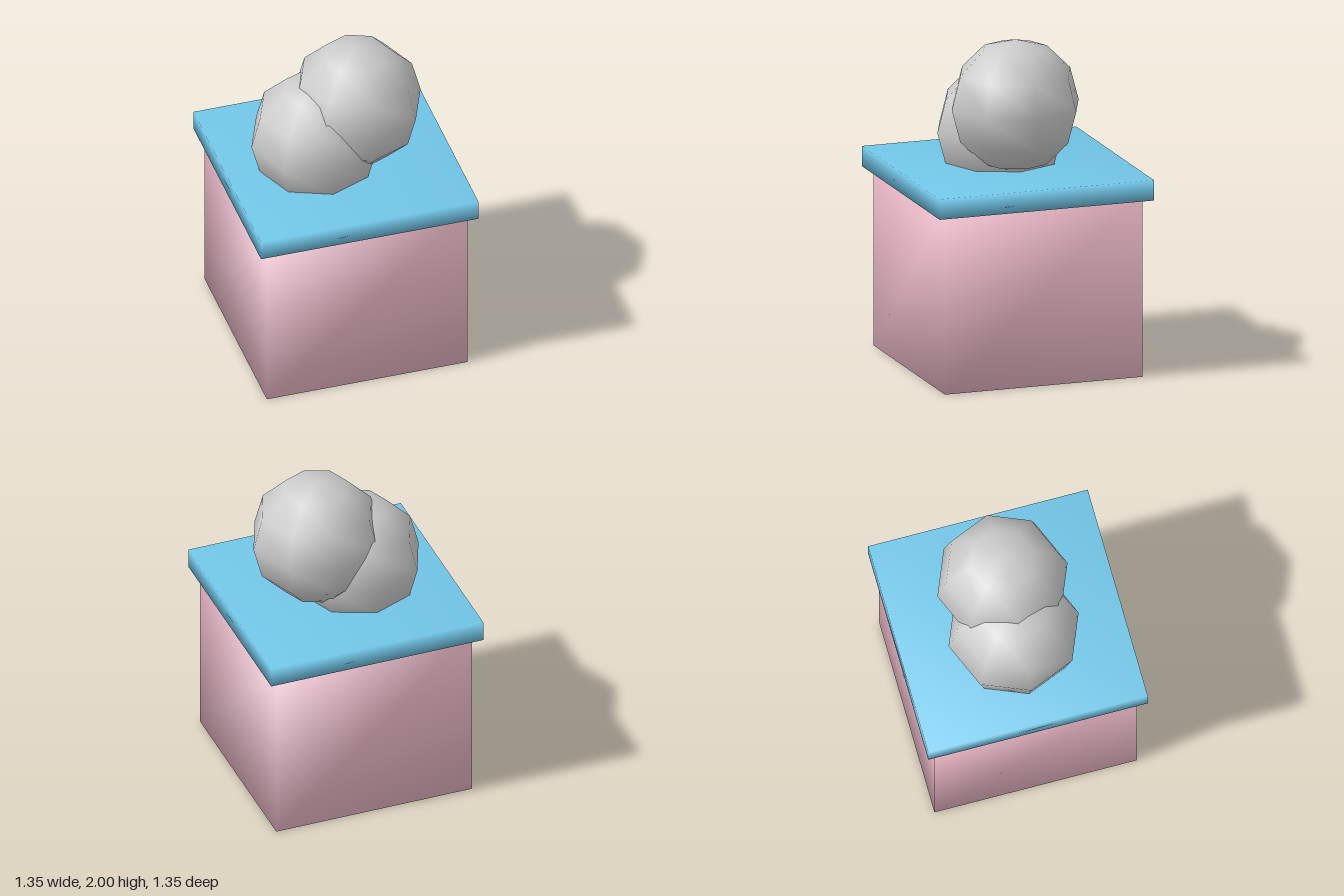
import * as THREE from 'three';
import { mergeVertices } from 'three/addons/utils/BufferGeometryUtils.js';

// Box whose corners share one normal, giving soft shading over the edges
function softBox(width, height, depth) {
  const box = new THREE.BoxGeometry(width, height, depth);
  box.deleteAttribute('uv');
  box.deleteAttribute('normal');
  const merged = mergeVertices(box);
  merged.computeVertexNormals();
  return merged;
}

export function createModel() {
  const model = new THREE.Group();
  model.name = 'cupWithScoops';

  function add(name, geometry, color, x, y) {
    const mesh = new THREE.Mesh(geometry, new THREE.MeshStandardMaterial({ color }));
    mesh.name = name;
    mesh.position.set(x, y, 0);
    model.add(mesh);
  }

  // Square body, reaching a little way into the rim slab
  const bodyHeight = 1.15;
  add('body', softBox(1.245, bodyHeight, 1.245), 0xf0bccb, 0, bodyHeight / 2);

  // Overhanging slab on top of the body
  add('rim', softBox(1.35, 0.125, 1.35), 0x72c6e8, 0, 1.15);

  // Two overlapping faceted balls, the lower one sunk into the rim
  const ball = new THREE.SphereGeometry(0.4, 8, 6);
  add('lowerBall', ball, 0xcccccc, -0.125, 1.4);
  add('upperBall', ball, 0xcccccc, 0.125, 1.6);

  return model;
}
